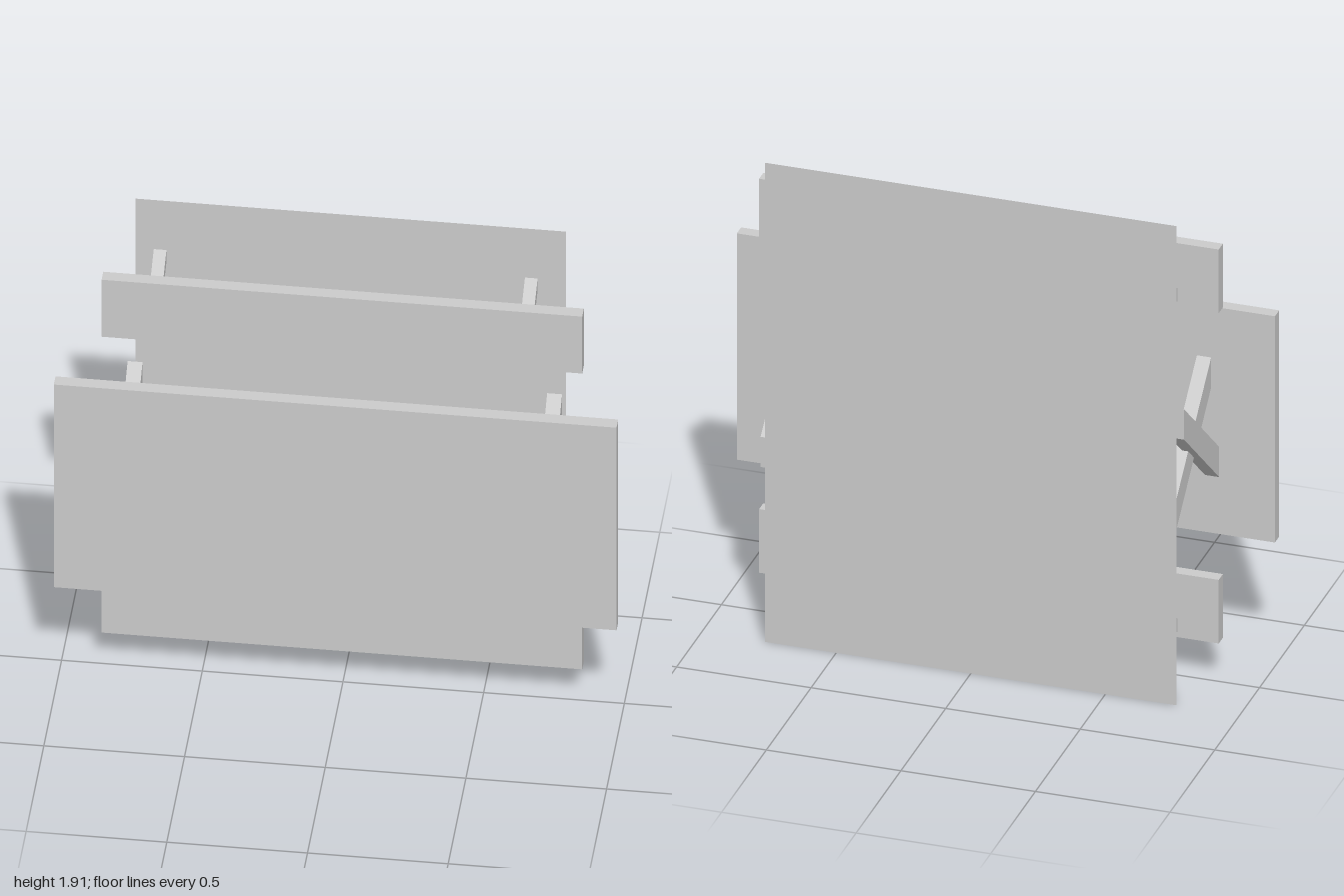
import * as THREE from 'three';

const material = new THREE.MeshStandardMaterial({ color: 0xcccccc, flatShading: true });
const sheetMaterial = new THREE.MeshStandardMaterial({ color: 0xcccccc, side: THREE.DoubleSide });

const BACK = -0.22;

function add(parent, name, geometry, mat = material) {
  const mesh = new THREE.Mesh(geometry, mat);
  mesh.name = name;
  parent.add(mesh);
  return mesh;
}

// Board spanning width w (centred on x), y0..y1 and z0..z1
function board(parent, name, w, y0, y1, z0, z1) {
  add(parent, name, new THREE.BoxGeometry(w, y1 - y0, z1 - z0))
    .position.set(0, (y0 + y1) / 2, (z0 + z1) / 2);
}

// Slanted leg with ends cut flush: frontY and backY are [bottom, top] at each end
function leg(parent, name, x0, x1, zFront, frontY, backY) {
  const shape = new THREE.Shape([
    new THREE.Vector2(BACK, backY[0]),
    new THREE.Vector2(zFront, frontY[0]),
    new THREE.Vector2(zFront, frontY[1]),
    new THREE.Vector2(BACK, backY[1]),
  ]);
  const geometry = new THREE.ExtrudeGeometry(shape, { depth: x1 - x0, bevelEnabled: false });
  geometry.rotateY(-Math.PI / 2);
  add(parent, name, geometry).position.x = x1;
}

export function createModel() {
  const model = new THREE.Group();
  model.name = 'picnicTable';

  // Thin ground sheet behind the feet
  add(model, 'groundSheet', new THREE.PlaneGeometry(1.53, 1.906), sheetMaterial)
    .position.set(0, 0.953, BACK);

  // Table top on two crossed leg pairs
  const table = new THREE.Group();
  table.name = 'table';
  model.add(table);
  board(table, 'tableTop', 2, 0.492, 1.392, 0.172, 0.22);
  for (const x of [-0.793, 0.698]) {
    leg(table, 'tableLegRising', x, x + 0.053, 0.172, [0.718, 0.838], [1.061, 1.182]);
    leg(table, 'tableLegFalling', x + 0.03, x + 0.083, 0.172, [1.07, 1.189], [0.693, 0.813]);
  }

  // Two benches, each on two smaller crossed leg pairs
  for (const y of [0, 1.314]) {
    const bench = new THREE.Group();
    bench.name = y ? 'upperBench' : 'lowerBench';
    bench.position.y = y;
    model.add(bench);
    board(bench, 'benchSeat', 1.708, 0.16, 0.413, -0.017, 0.03);
    for (const x of [-0.7, 0.619]) {
      leg(bench, 'benchLegRising', x, x + 0.045, -0.017, [0.18, 0.234], [0.32, 0.374]);
      leg(bench, 'benchLegFalling', x + 0.021, x + 0.065, -0.017, [0.325, 0.371], [0.178, 0.224]);
    }
  }
  return model;
}
